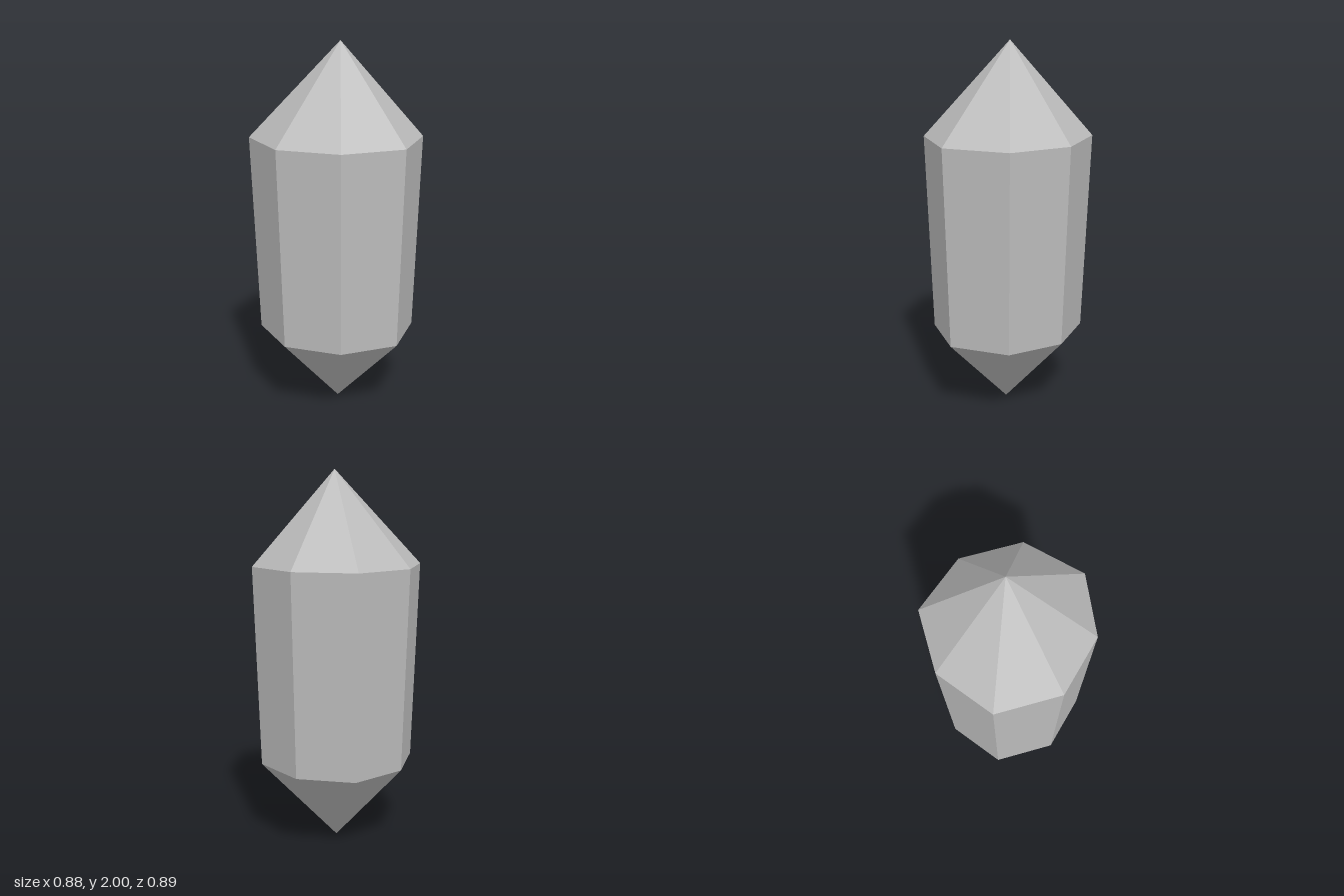
import * as THREE from 'three';

// Crystal cross-section as [x, z], counter-clockwise seen from above
const outline = [
  [0.005, 0.445], [0.325, 0.3], [0.44, -0.018], [0.325, -0.335],
  [0.005, -0.45], [-0.322, -0.345], [-0.44, -0.018], [-0.3, 0.29],
];

// Outline at a height, shrunk towards the axis by the given scale
const ring = (y, scale) => outline.map(([x, z]) => [x * scale, y, z * scale]);
// A ring collapsed to a single point
const point = (x, y, z) => outline.map(() => [x, y, z]);

// Flat facets joining a lower ring to an upper ring
function facets(lower, upper, lowerIsPoint, upperIsPoint) {
  const pos = [];
  for (let i = 0; i < lower.length; i++) {
    const j = (i + 1) % lower.length;
    if (!lowerIsPoint) pos.push(...lower[i], ...lower[j], ...upper[j]);
    if (!upperIsPoint) pos.push(...lower[i], ...upper[j], ...upper[i]);
  }
  const geometry = new THREE.BufferGeometry();
  geometry.setAttribute('position', new THREE.Float32BufferAttribute(pos, 3));
  geometry.computeVertexNormals();
  return geometry;
}

export function createModel() {
  const group = new THREE.Group();
  group.name = 'crystal';
  const stone = new THREE.MeshStandardMaterial({ color: 0xbcbcbc, flatShading: true });
  stone.name = 'grey stone';

  const add = (name, geometry) => {
    const mesh = new THREE.Mesh(geometry, stone);
    mesh.name = name;
    group.add(mesh);
  };

  const shoulder = ring(1.505, 1);
  const waist = ring(0.44, 0.92);

  add('lowerPoint', facets(point(0.005, 0, -0.016), waist, true, false));
  add('shaft', facets(waist, shoulder, false, false));
  // The upper tip leans slightly to one side
  add('upperPoint', facets(shoulder, point(0.028, 2, -0.018), false, true));

  return group;
}
